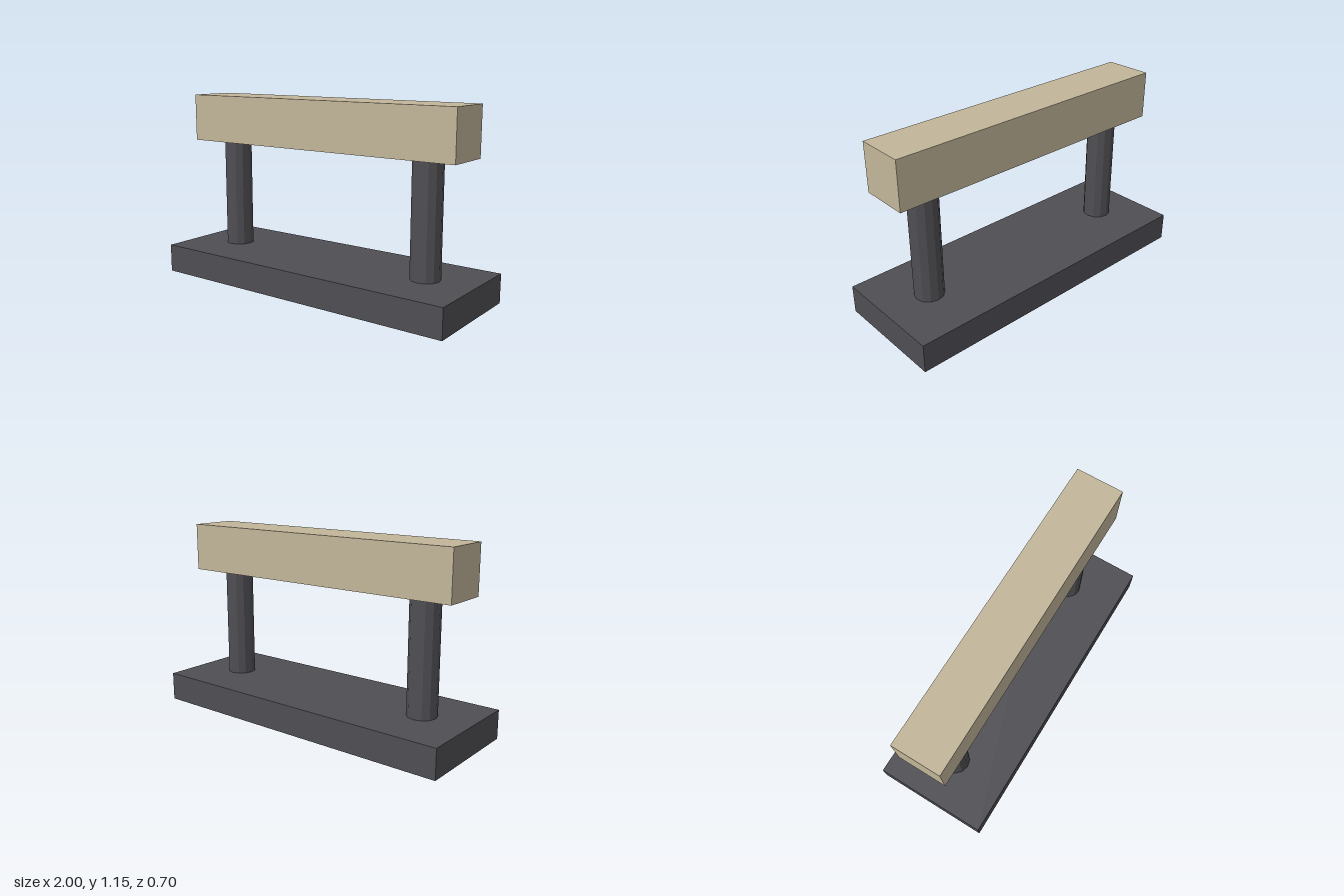
import * as THREE from 'three';

export function createModel() {
  const model = new THREE.Group();
  model.name = 'railBarrier';

  const darkGrey = new THREE.MeshStandardMaterial({ color: 0x4f4e53 });
  darkGrey.name = 'dark grey';
  const tan = new THREE.MeshStandardMaterial({ color: 0xc2b69a });
  tan.name = 'tan';

  const baseTop = 0.176, beamBottom = 0.857, beamSize = 0.294;

  function add(name, geometry, material, x, y) {
    const mesh = new THREE.Mesh(geometry, material);
    mesh.name = name;
    mesh.position.set(x, y, 0);
    model.add(mesh);
  }

  // Flat base slab
  add('base', new THREE.BoxGeometry(2, baseTop, 0.704), darkGrey, 0, baseTop / 2);

  // Two faceted posts
  const postHeight = beamBottom - baseTop;
  const post = new THREE.CylinderGeometry(0.088, 0.088, postHeight, 12).toNonIndexed();
  post.computeVertexNormals();
  for (const [name, side] of [['leftPost', 1], ['rightPost', -1]]) {
    add(name, post, darkGrey, side * 0.704, baseTop + postHeight / 2);
  }

  // Square top beam
  add('beam', new THREE.BoxGeometry(1.876, beamSize, beamSize), tan, 0, beamBottom + beamSize / 2);

  return model;
}
